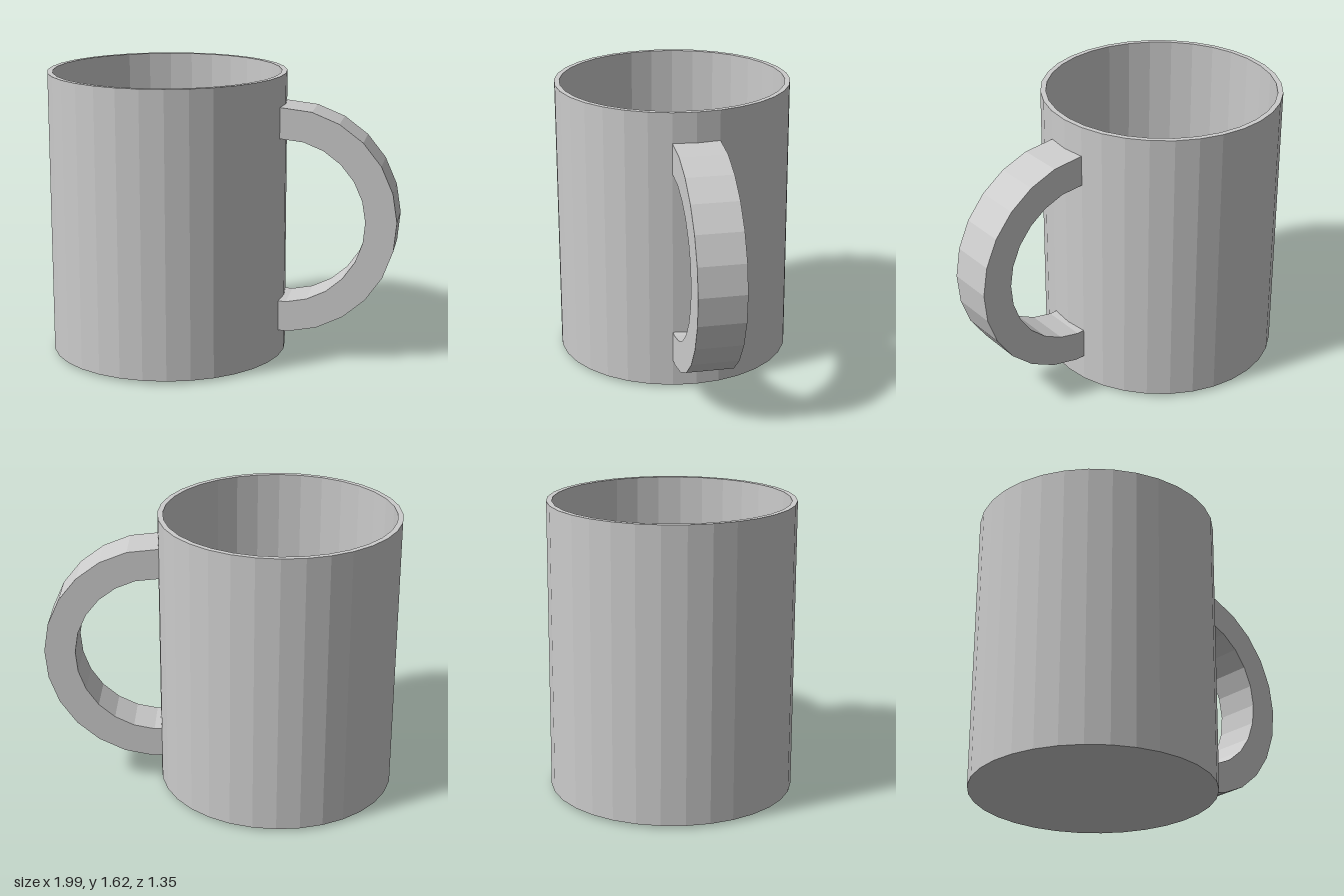
import * as THREE from 'three';

const material = new THREE.MeshStandardMaterial({ color: 0xcccccc, flatShading: true });

function part(name, geometry) {
  const mesh = new THREE.Mesh(geometry, material);
  mesh.name = name;
  return mesh;
}

// Hollow cup: outer wall, rim, inner wall and floor in one lathe profile
function cupGeometry() {
  const profile = [
    [0, 0], [0.585, 0], [0.675, 0.015], [0.675, 1.625],
    [0.645, 1.625], [0.645, 0.045], [0.585, 0.03], [0, 0.03],
  ].map(([r, y]) => new THREE.Vector2(r, y));
  return new THREE.LatheGeometry(profile, 32);
}

// Faceted C-shaped handle, its ends buried in the cup wall
function handleGeometry() {
  const cx = 0.35, cy = 0.81, endX = 0.33, width = 0.264;
  const arc = (radius) => {
    const points = [];
    for (let k = -6; k <= 5; k++) {
      const a = THREE.MathUtils.degToRad(1.8 + 14.7 * k);
      points.push(new THREE.Vector2(cx + radius * Math.cos(a), cy + radius * Math.sin(a)));
    }
    const end = (y) => new THREE.Vector2(endX, y);
    return [end(cy - radius * 0.992), ...points, end(cy + radius)];
  };
  const shape = new THREE.Shape([...arc(0.645), ...arc(0.47).reverse()]);
  const geometry = new THREE.ExtrudeGeometry(shape, { depth: width, bevelEnabled: false });
  return geometry.translate(0, 0, -width / 2);
}

export function createModel() {
  const mug = new THREE.Group();
  mug.name = 'mug';
  const cup = part('cup', cupGeometry());
  cup.position.x = -0.325;
  mug.add(cup, part('handle', handleGeometry()));
  return mug;
}
